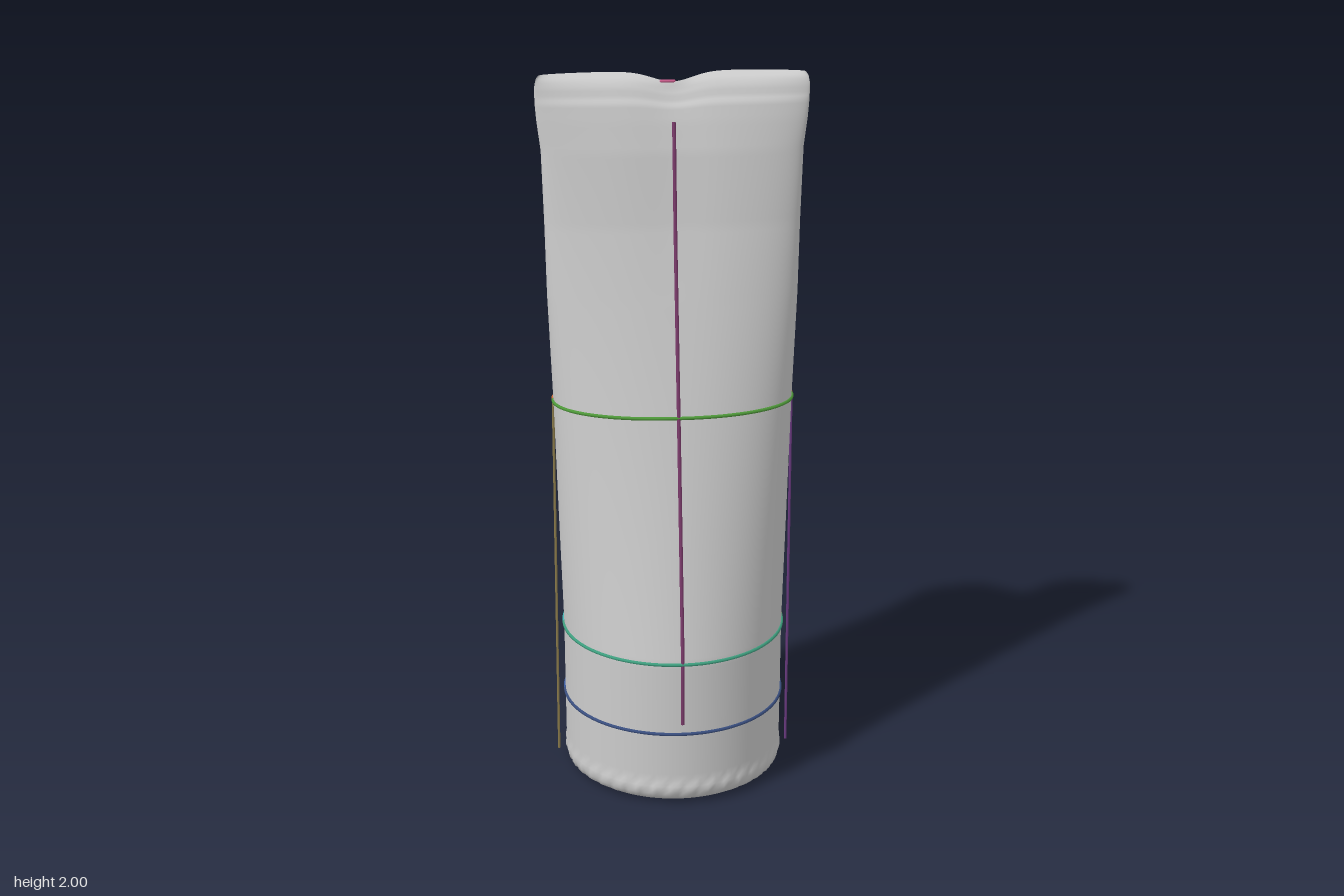
import * as THREE from 'three';

// Profile: y, half width, front depth, back depth, central pinch
const ROWS = [
  [0.018, 0.001, 0.001, 0.001, 0], [0.018, 0.27, 0.27, 0.27, 0], [0.002, 0.28, 0.285, 0.285, 0],
  [0.02, 0.303, 0.313, 0.313, 0], [0.045, 0.31, 0.322, 0.322, 0], [0.08, 0.308, 0.317, 0.315, 0],
  [0.22, 0.309, 0.318, 0.312, 0], [0.43, 0.31, 0.316, 0.305, 0], [0.75, 0.32, 0.254, 0.245, 0],
  [1.1, 0.33, 0.187, 0.177, 0.03], [1.4, 0.342, 0.125, 0.13, 0.1], [1.6, 0.346, 0.086, 0.102, 0.25],
  [1.8, 0.352, 0.06, 0.085, 0.45], [1.88, 0.362, 0.043, 0.088, 0.65], [1.93, 0.366, 0.03, 0.092, 0.8],
  [1.936, 0.366, 0.021, 0.093, 0.82], [1.97, 0.366, 0.008, 0.1, 0.88], [1.99, 0.362, -0.012, 0.088, 0.88],
  [2.0, 0.355, -0.045, 0.045, 0.85],
];
const FIRST_WALL = 5;

// Cross-section point: round at the base, a pinched lens at the top
function section([y, w, f, b, k], t, offset = 0) {
  const u = Math.cos(t), s = Math.sin(t);
  const p = 1 - 0.15 * THREE.MathUtils.smoothstep(y, 0.5, 1.6);
  const dip = Math.exp(-((u / 0.28) ** 2));
  const depth = s >= 0 ? f : b;
  const pinch = s >= 0 && f > 0 ? k * 0.3 : k;
  const z = Math.sign(s) * (depth * Math.pow(Math.abs(s), p) * (1 - pinch * dip) + offset * Math.abs(s));
  const notch = 0.022 * dip * dip * THREE.MathUtils.smoothstep(y, 1.85, 2);
  return new THREE.Vector3((w + offset) * u, y - notch, z);
}

function rowAt(y) {
  let i = FIRST_WALL;
  while (i < ROWS.length - 2 && ROWS[i + 1][0] < y) i++;
  const a = ROWS[i], b = ROWS[i + 1], q = (y - a[0]) / (b[0] - a[0]);
  return a.map((v, n) => v + (b[n] - v) * q);
}

// Arched patch low on the back, below 1 inside it
const HOLE = { y: 0.21, w: 0.105, h: 0.17 };
const holeDistance = (x, y) => (y < HOLE.y ? 9 : Math.hypot(x / HOLE.w, (y - HOLE.y) / HOLE.h));

function bodyGeometry() {
  const n = 160, rows = [];
  ROWS.forEach((r, i) => {
    if (i === 0) return rows.push(r);
    const prev = ROWS[i - 1];
    const steps = Math.max(1, Math.ceil((r[0] - prev[0]) / 0.015));
    for (let s = 1; s <= steps; s++) rows.push(prev.map((v, m) => v + (r[m] - v) * s / steps));
  });
  const pos = [], index = [];
  rows.forEach((r, i) => {
    for (let j = 0; j < n; j++) {
      const t = j / n * Math.PI * 2, v = section(r, t);
      // gathered hem around the foot
      if (r[0] > 0.01 && r[0] < 0.075 && r[1] > 0.29) {
        const g = 1 + 0.008 * Math.sin(j * 2.4 + i) * Math.sin(j * 0.9);
        v.x *= g; v.z *= g;
      }
      // sunken crumpled hollow
      if (v.z < 0 && holeDistance(v.x, v.y) < 1) {
        v.z += 0.04 + 0.02 * Math.sin(j * 1.7 + i * 0.8) * Math.cos(i * 1.9 - j);
      }
      pos.push(v.x, v.y, v.z);
      if (i < rows.length - 1) {
        const a = i * n + j, b = i * n + (j + 1) % n;
        index.push(a, a + n, b, b, a + n, b + n);
      }
    }
  });
  const g = new THREE.BufferGeometry();
  g.setAttribute('position', new THREE.Float32BufferAttribute(pos, 3));
  g.setIndex(index);
  g.computeVertexNormals();
  return g;
}

export function createModel() {
  const model = new THREE.Group();
  model.name = 'pouch';

  const add = (name, geometry, color) => {
    const material = new THREE.MeshStandardMaterial({ color });
    const mesh = new THREE.Mesh(geometry, material);
    mesh.name = name;
    model.add(mesh);
    return mesh;
  };
  const cord = (name, points, color, radius = 0.005) =>
    add(name, new THREE.TubeGeometry(new THREE.CatmullRomCurve3(points), points.length * 2, radius, 6), color);
  const sample = (count, fn) => Array.from({ length: count + 1 }, (_, i) => fn(i / count));

  const body = add('body', bodyGeometry(), 0xcccccc);
  body.material.side = THREE.DoubleSide;

  // Stitching running around the body
  const around = (name, y, from, to, color) =>
    cord(name, sample(40, (q) => section(rowAt(y), (from + (to - from) * q) * Math.PI, 0.001)), color);
  around('upperFrontSeam', 1.1, 0, 1, 0x4f9a3a);
  around('upperBackSeam', 1.1, 1, 2, 0xd0703c);
  around('middleFrontSeam', 0.43, 0, 1, 0x3fa080);
  around('middleBackRightSeam', 0.43, 1, 1.5, 0x48b8b8);
  around('middleBackLeftSeam', 0.43, 1.5, 2, 0xa0b040);
  around('lowerFrontSeam', 0.22, 0, 1, 0x3a4f80);
  around('lowerBackRightSeam', 0.22, 1, 1.39, 0x3a5aa0);
  around('lowerBackLeftSeam', 0.22, 1.61, 2, 0x3a5aa0);

  // Stitching running up the centre
  const upright = (name, y0, y1, turn, color) =>
    cord(name, sample(40, (q) => section(rowAt(y0 + (y1 - y0) * q), turn * Math.PI, 0.001)), color);
  upright('frontCentreSeam', 0.25, 1.88, 0.5, 0x7a3a6a);
  upright('backCentreSeam', 0.385, 1.97, 1.5, 0x40a098);
  upright('backFootSeam', 0.12, 0.2, 1.5, 0xa09040);

  // Straight side cords
  for (const [name, side, color] of [['leftSideCord', 1, 0x6a3a80], ['rightSideCord', -1, 0x8a7a4a]]) {
    const geometry = new THREE.CylinderGeometry(0.004, 0.004, 1.06, 6);
    add(name, geometry, color).position.set(side * 0.331, 0.56, 0);
  }

  // Rim of the hollow
  cord('hollowRim', sample(24, (q) => {
    const a = q * Math.PI, y = HOLE.y + HOLE.h * Math.sin(a), x = HOLE.w * Math.cos(a);
    const r = rowAt(y);
    return section(r, -Math.acos(x / r[1]), 0.002);
  }), 0x5a4090, 0.006);

  // Tie at the top notch
  const tie = add('topTie', new THREE.CapsuleGeometry(0.004, 0.034, 3, 8), 0xd06090);
  tie.rotation.z = Math.PI / 2;
  tie.position.set(-0.014, 1.982, 0.006);

  // Crossed folds on the underside
  for (const angle of [Math.PI / 4, -Math.PI / 4]) {
    const fold = add('baseFold', new THREE.BoxGeometry(0.52, 0.006, 0.008), 0xcccccc);
    fold.rotation.y = angle;
    fold.position.y = 0.016;
  }
  return model;
}
